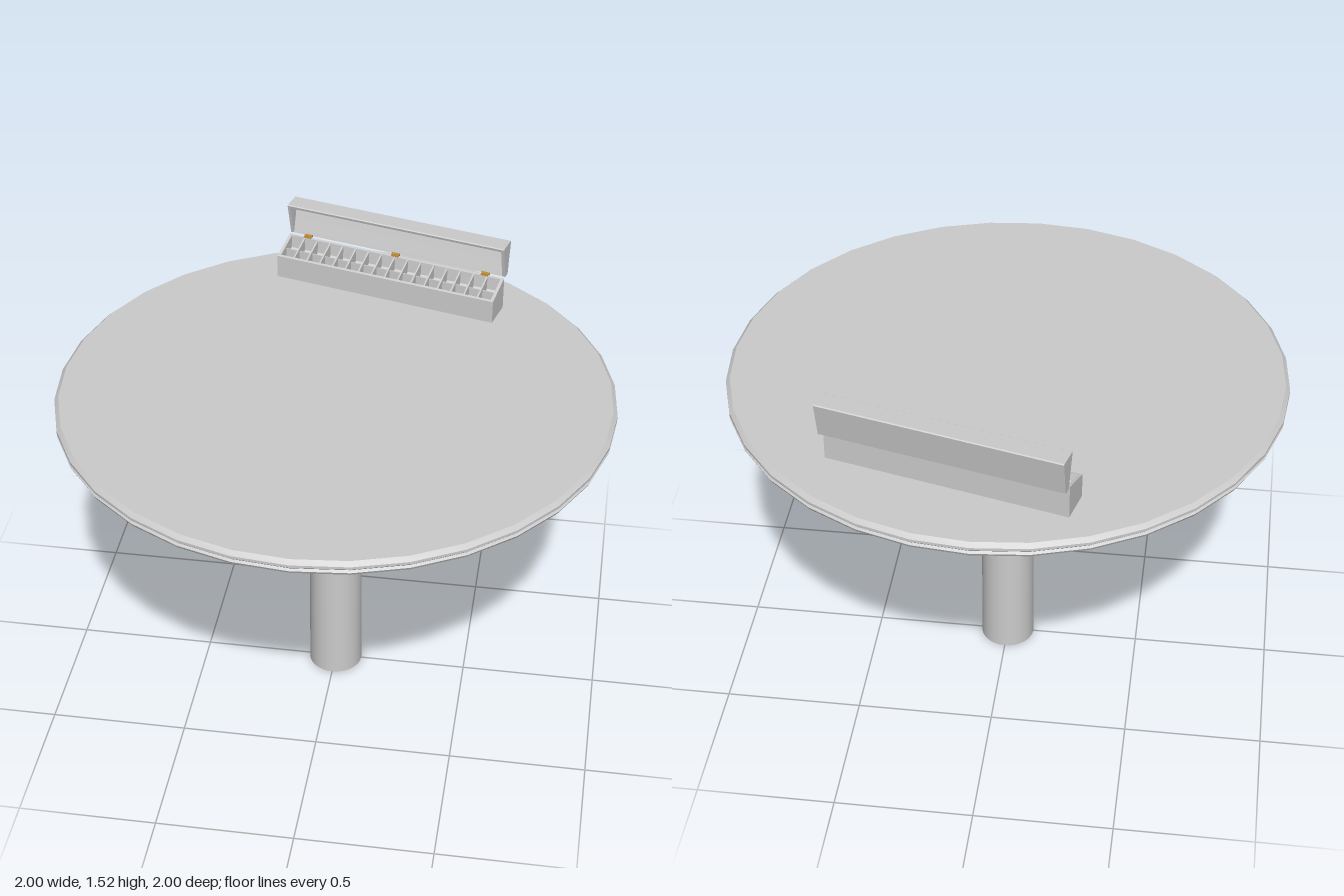
import * as THREE from 'three';
import { toCreasedNormals } from 'three/addons/utils/BufferGeometryUtils.js';

const grey = new THREE.MeshStandardMaterial({ color: 0xcccccc });
const brass = new THREE.MeshStandardMaterial({ color: 0xb8862e });

function add(parent, name, geometry, material = grey) {
  const mesh = new THREE.Mesh(geometry, material);
  mesh.name = name;
  parent.add(mesh);
  return mesh;
}

// Extrudes a [z, y] cross-section along x, centred on the given x
function prism(section, width, x = 0) {
  const shape = new THREE.Shape(section.map(([z, y]) => new THREE.Vector2(-z, y)));
  return new THREE.ExtrudeGeometry(shape, { depth: width, bevelEnabled: false })
    .translate(0, 0, -width / 2)
    .rotateY(Math.PI / 2)
    .translate(x, 0, 0);
}

export function createModel() {
  const model = new THREE.Group();
  model.name = 'tableWithOrganizer';

  // Round top with a grooved rim and a bevelled underside
  const rim = [[0, 1.18], [0.9, 1.18], [0.995, 1.202], [1, 1.212], [0.993, 1.219],
    [1, 1.226], [1, 1.236], [0.985, 1.25], [0, 1.25]];
  const top = new THREE.LatheGeometry(rim.map(([r, y]) => new THREE.Vector2(r, y)), 32);
  add(model, 'tableTop', toCreasedNormals(top, 0.35));

  // Central leg
  add(model, 'leg', new THREE.CylinderGeometry(0.095, 0.1, 1.19, 32).translate(0, 0.595, 0));

  // Long compartment case, turned on the table; local z = 0 is its front face
  const box = new THREE.Group();
  box.name = 'compartmentCase';
  box.position.set(0.0875, 0, -0.6125);
  box.rotation.y = -0.249;
  model.add(box);

  const length = 0.872, wall = 0.012, inner = length - 2 * wall;
  const endX = (length - wall) / 2;

  // Tray: sloped rim and a V-shaped trough
  const trayEnd = [[0, 1.262], [0, 1.351], [-0.121, 1.387], [-0.121, 1.262]];
  const trough = [[0, 1.262], [0, 1.351], [-0.009, 1.354], [-0.014, 1.325], [-0.06, 1.3],
    [-0.108, 1.335], [-0.112, 1.385], [-0.121, 1.387], [-0.121, 1.262]];
  add(box, 'tray', prism(trough, inner));

  // Lid: open wedge standing behind the tray, hollow towards the front
  const lidEnd = [[-0.132, 1.387], [-0.102, 1.515], [-0.106, 1.518], [-0.176, 1.518],
    [-0.18, 1.515], [-0.159, 1.387]];
  const lidHollow = [[-0.132, 1.387], [-0.135, 1.398], [-0.149, 1.447], [-0.165, 1.505],
    [-0.105, 1.505], [-0.102, 1.515], [-0.106, 1.518], [-0.176, 1.518],
    [-0.18, 1.515], [-0.159, 1.387]];
  add(box, 'lid', prism(lidHollow, inner));

  for (const side of [-1, 1]) {
    add(box, 'trayEnd', prism(trayEnd, wall, side * endX));
    add(box, 'lidEnd', prism(lidEnd, wall, side * endX));
  }

  // Dividers between the compartments, and the lengthwise rail
  const columns = 16;
  const divider = [[-0.006, 1.28], [-0.006, 1.35], [-0.115, 1.384], [-0.115, 1.28]];
  for (let i = 1; i < columns; i++) {
    add(box, 'divider', prism(divider, 0.006, -inner / 2 + (i * inner) / columns));
  }
  add(box, 'middleRail', new THREE.BoxGeometry(inner, 0.06, 0.005).translate(0, 1.325, -0.06));

  // Brass hinges joining lid and tray
  for (const x of [-0.36, 0, 0.36]) {
    add(box, 'hingePin', new THREE.CylinderGeometry(0.006, 0.006, 0.03, 12)
      .rotateZ(Math.PI / 2).translate(x, 1.388, -0.126), brass);
    add(box, 'hingeLeaf', new THREE.BoxGeometry(0.03, 0.004, 0.036)
      .translate(x, 1.386, -0.131), brass);
  }

  return model;
}
